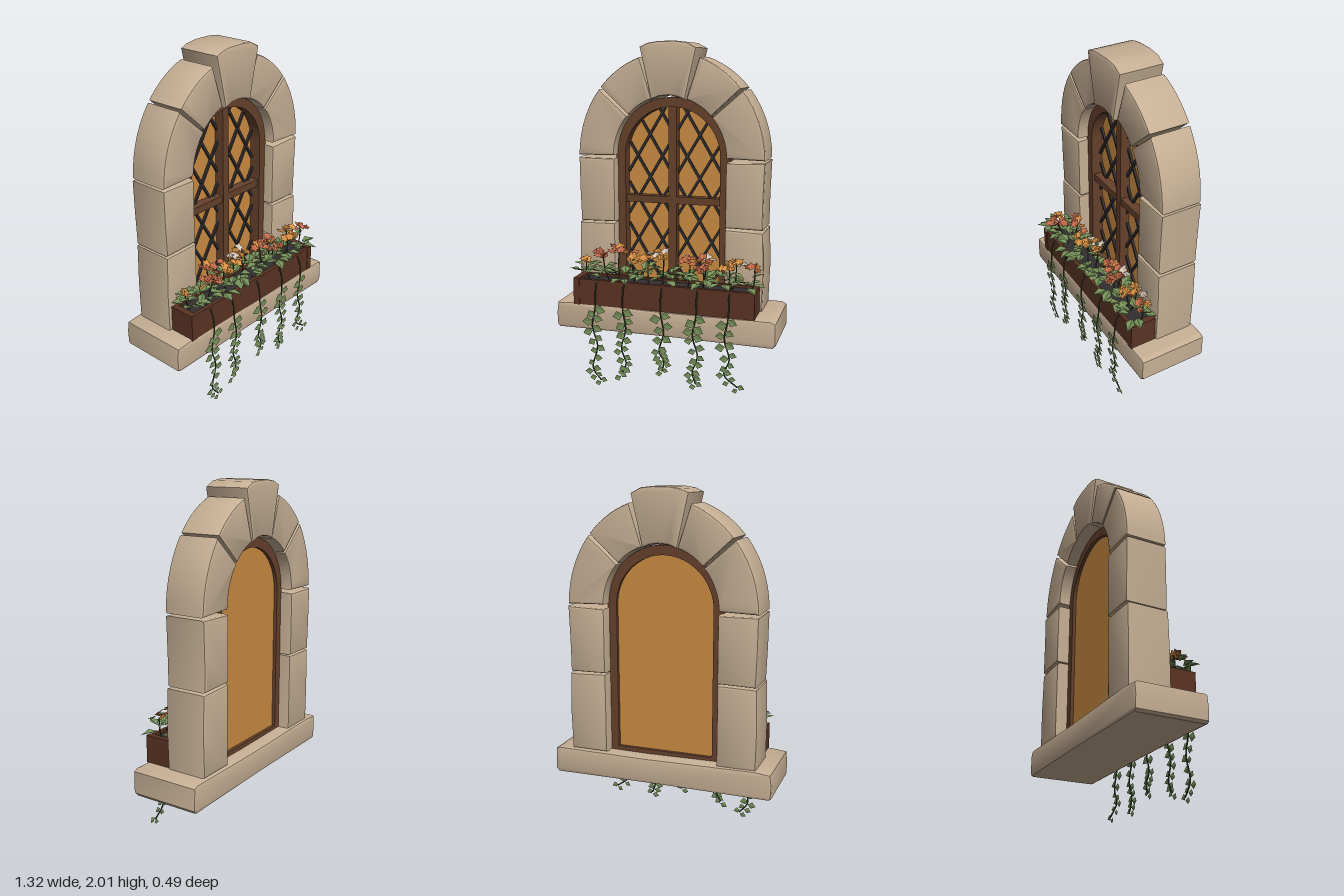
import * as THREE from 'three';
import { mergeGeometries, toCreasedNormals } from 'three/addons/utils/BufferGeometryUtils.js';

const CX = -0.007, SPRING = 1.345; // arch centre line and springing height

const mat = (name, color, side = THREE.FrontSide) => {
  const m = new THREE.MeshStandardMaterial({ color, side });
  m.name = name;
  return m;
};

export function createModel() {
  const model = new THREE.Group();
  model.name = 'archedWindow';
  const M = {
    stone: mat('stone', 0xc6af94),
    frame: mat('frameWood', 0x66412c),
    box: mat('planterWood', 0x5a3323),
    glass: mat('amberGlass', 0xcc8c42),
    dark: mat('leadAndSoil', 0x332f31),
    leaf: mat('leafGreen', 0x748f58, THREE.DoubleSide),
    stem: mat('stemGreen', 0x3c4a30),
    red: mat('coralPetal', 0xc26a48, THREE.DoubleSide),
    orange: mat('orangePetal', 0xdb9244, THREE.DoubleSide),
    cream: mat('creamPetal', 0xd9c9b8, THREE.DoubleSide),
  };
  let seed = 7;
  const rnd = (a = 0, b = 1) => {
    seed = (seed * 16807) % 2147483647;
    return a + (b - a) * (seed / 2147483647);
  };
  const add = (name, geo, material, parent = model) => {
    const mesh = new THREE.Mesh(geo, material);
    mesh.name = name;
    parent.add(mesh);
    return mesh;
  };
  const group = (name) => {
    const g = new THREE.Group();
    g.name = name;
    model.add(g);
    return g;
  };
  const box = (name, x0, x1, y0, y1, z0, z1, material, parent) =>
    add(name, new THREE.BoxGeometry(x1 - x0, y1 - y0, z1 - z0), material, parent)
      .position.set((x0 + x1) / 2, (y0 + y1) / 2, (z0 + z1) / 2);

  // Stone block: bevelled extrusion of an outline
  const surround = group('stoneSurround');
  const block = (name, pts, z0, z1, b = 0.014) => {
    const shape = new THREE.Shape(pts.map(([x, y]) => new THREE.Vector2(x, y)));
    const geo = new THREE.ExtrudeGeometry(shape, {
      depth: z1 - z0 - 2 * b, bevelEnabled: true, bevelSize: b, bevelOffset: -b,
      bevelThickness: b, bevelSegments: 2,
    });
    geo.translate(0, 0, z0 + b);
    add(name, toCreasedNormals(geo, 0.55), M.stone, surround);
  };

  // Sill with slightly worn edges
  block('sill', [[-0.66, 0.335], [-0.645, 0.322], [0, 0.325], [0.64, 0.318], [0.66, 0.34],
    [0.657, 0.465], [0.63, 0.478], [0.1, 0.474], [-0.56, 0.484], [-0.655, 0.475], [-0.663, 0.41]], -0.237, 0.18, 0.016);

  // Jambs and voussoirs, mirrored
  const outer = (a) => 0.557 + 0.05 * Math.sin(a) ** 2;
  const inner = (a) => 0.335 + 0.014 * Math.sin(a) ** 2;
  for (const s of [-1, 1]) {
    const side = s < 0 ? 'right' : 'left';
    const X = (x) => CX + s * x;
    const w = s < 0 ? 0.004 : 0;
    block(side + 'LowerJamb', [[X(0.333), 0.478], [X(0.556 + w), 0.478], [X(0.563), 0.7],
      [X(0.556), 0.938 + w], [X(0.333), 0.946]], -0.222, 0.024);
    block(side + 'UpperJamb', [[X(0.333), 0.954], [X(0.55), 0.95], [X(0.552 + w), 1.14],
      [X(0.558), 1.332], [X(0.333), 1.326 + w]], -0.226, 0.02);
    [[1, 43], [44.4, 73]].forEach(([d0, d1], i) => {
      const pts = [], n = 7;
      for (let k = 0; k <= n; k++) {
        const a = THREE.MathUtils.degToRad(d0 + (d1 - d0) * k / n);
        pts.push([X(outer(a) * Math.cos(a)), SPRING + outer(a) * Math.sin(a) - 0.01]);
      }
      for (let k = n; k >= 0; k--) {
        const a = THREE.MathUtils.degToRad(d0 + (d1 - d0) * k / n);
        pts.push([X(inner(a) * Math.cos(a)), SPRING + inner(a) * Math.sin(a)]);
      }
      block(side + (i ? 'UpperVoussoir' : 'LowerVoussoir'), pts, -0.222, 0.022);
    });
  }
  block('keystone', [[-0.108, 1.675], [-0.06, 1.694], [0, 1.7], [0.05, 1.692], [0.092, 1.675],
    [0.158, 1.962], [0.1, 1.992], [0.03, 2], [-0.07, 1.998], [-0.13, 1.988], [-0.175, 1.968]], -0.226, 0.042);

  // Arched timber frame, glass, mullion and transom
  const windowGroup = group('window');
  const arch = (r, bottom, Type) => {
    const p = new Type();
    p.moveTo(CX - r, bottom);
    p.lineTo(CX + r, bottom);
    p.lineTo(CX + r, SPRING);
    p.absarc(CX, SPRING, r, 0, Math.PI, false);
    p.closePath();
    return p;
  };
  const R = 0.287, BOTTOM = 0.5;
  const extrude = (shape, z0, z1) => {
    const geo = new THREE.ExtrudeGeometry(shape, { depth: z1 - z0, bevelEnabled: false, curveSegments: 24 });
    geo.translate(0, 0, z0);
    return toCreasedNormals(geo, 0.6);
  };
  const frame = arch(0.342, 0.47, THREE.Shape);
  frame.holes.push(arch(R, BOTTOM, THREE.Path));
  add('windowFrame', extrude(frame, -0.15, -0.045), M.frame, windowGroup);
  add('glassPane', extrude(arch(R + 0.005, BOTTOM - 0.005, THREE.Shape), -0.13, -0.115), M.glass, windowGroup);
  box('mullion', CX - 0.024, CX + 0.024, BOTTOM, SPRING + R, -0.116, -0.055, M.frame, windowGroup);
  box('transom', CX - R, CX + R, 1.065, 1.108, -0.116, -0.06, M.frame, windowGroup);

  // Diagonal lead bars, clipped to the arch
  const inside = (x, y) => y > BOTTOM && Math.abs(x) < R && (y < SPRING || Math.hypot(x, y - SPRING) < R);
  const tilt = THREE.MathUtils.degToRad(31);
  for (const s of [-1, 1]) {
    for (let i = -8; i <= 8; i++) {
      const x0 = (i + 0.5) * 0.152;
      const hits = [];
      for (let t = -1; t <= 1; t += 0.004) {
        if (inside(x0 + s * t * Math.sin(tilt), 1.087 + t * Math.cos(tilt))) hits.push(t);
      }
      if (hits.length < 5) continue;
      const a = hits[0], b = hits[hits.length - 1], mid = (a + b) / 2;
      const bar = add('leadBar', new THREE.BoxGeometry(0.014, b - a, 0.014), M.dark, windowGroup);
      bar.position.set(CX + x0 + s * mid * Math.sin(tilt), 1.087 + mid * Math.cos(tilt), -0.103 + s * 0.002);
      bar.rotation.z = -s * tilt;
    }
  }

  // Planter box with soil
  const planter = group('planterBox');
  box('planterFront', -0.51, 0.5, 0.476, 0.632, 0.155, 0.178, M.box, planter);
  box('planterBack', -0.51, 0.5, 0.476, 0.632, 0.022, 0.04, M.box, planter);
  box('planterRightEnd', -0.547, -0.51, 0.474, 0.635, 0.02, 0.181, M.box, planter);
  box('planterLeftEnd', 0.5, 0.537, 0.474, 0.635, 0.02, 0.181, M.box, planter);
  box('soil', -0.51, 0.5, 0.478, 0.618, 0.04, 0.155, M.dark, planter);

  // Folded kite along +z, used for leaves and petals
  const kite = (len, width, lift) => {
    const g = new THREE.BufferGeometry();
    const w = width / 2, m = len * 0.45;
    g.setAttribute('position', new THREE.Float32BufferAttribute(
      [0, 0, 0, 0, 0, len, w, lift, m, 0, 0, 0, -w, lift, m, 0, 0, len], 3));
    g.computeVertexNormals();
    return g;
  };
  const rod = (pts, r, n) => new THREE.TubeGeometry(
    new THREE.CatmullRomCurve3(pts.map((p) => new THREE.Vector3(...p))), n, r, 5);

  // Leafy plants along the box
  const leaves = [], stems = [];
  for (const x of [-0.49, -0.37, -0.26, -0.13, 0.0, 0.1, 0.22, 0.35, 0.47]) {
    for (let k = 0; k < 11; k++) {
      const yaw = k / 11 * Math.PI * 2 + rnd(-0.25, 0.25);
      const front = Math.cos(yaw);
      const g = kite(rnd(0.065, 0.1), rnd(0.045, 0.065), 0.01);
      g.rotateX(rnd(-0.5, 0.35));
      g.translate(0, 0, 0.02);
      g.rotateY(yaw);
      g.translate(x + rnd(-0.02, 0.02), rnd(0.645, 0.705), 0.11 + front * 0.025);
      leaves.push(g);
    }
  }
  add('plantLeaves', mergeGeometries(leaves), M.leaf);

  // Flower clusters: x, y, z, main colour, accent colour, count
  const petals = { red: [], orange: [], cream: [] };
  const clusters = [
    [-0.5, 0.735, 0.08, 'orange', 'cream', 2], [-0.3, 0.79, 0.06, 'red', 'orange', 6],
    [-0.36, 0.79, 0.17, 'red', 'red', 8], [-0.2, 0.76, 0.1, 'orange', 'red', 4],
    [-0.11, 0.765, 0.09, 'orange', 'cream', 8], [-0.02, 0.78, 0.07, 'orange', 'cream', 5],
    [0.14, 0.75, 0.08, 'red', 'orange', 6], [0.23, 0.77, 0.06, 'red', 'cream', 6],
    [0.23, 0.74, 0.12, 'red', 'orange', 5], [0.41, 0.775, 0.07, 'orange', 'cream', 7],
    [0.38, 0.74, 0.12, 'orange', 'red', 5], [0.52, 0.75, 0.1, 'red', 'orange', 5],
  ];
  for (const [x, y, z, main, accent, count] of clusters) {
    stems.push(rod([[x * 0.95, 0.6, 0.1], [x, 0.68, (z + 0.1) / 2], [x, y, z]], 0.004, 4));
    for (let k = 0; k < count; k++) {
      const a = k * 2.4, d = 0.021 * Math.sqrt(k);
      const size = rnd(0.026, 0.035), tx = rnd(0, 0.8), tz = rnd(-0.5, 0.5);
      const px = x + Math.cos(a) * d, py = y + rnd(-0.025, 0.025), pz = Math.max(0.05, z + Math.sin(a) * d);
      for (let p = 0; p < 5; p++) {
        const g = kite(size, size * 0.8, 0.004);
        g.rotateX(-0.3);
        g.rotateY(p * Math.PI * 0.4 + a);
        g.rotateX(tx);
        g.rotateZ(tz);
        g.translate(px, py, pz);
        petals[k % 3 === 2 ? accent : main].push(g);
      }
    }
  }
  for (const c in petals) add(c + 'Flowers', mergeGeometries(petals[c]), M[c]);

  // Trailing vines: top x, sideways drift at the end, lowest y
  const vineLeaves = [];
  for (const [x, drift, end] of [[-0.4, 0.03, 0.015], [-0.23, -0.015, 0.065], [0, 0.01, 0.115],
    [0.21, 0.0, 0.06], [0.395, 0.06, 0.07]]) {
    const sway = drift < 0 || x === 0 ? 0.018 : -0.02;
    const pts = [[x, 0.64, 0.14], [x, 0.6, 0.19], [x, 0.48, 0.207], [x + sway, 0.36, 0.207],
      [x - sway * 0.5, 0.24, 0.206], [x + sway, end + 0.08, 0.205], [x + drift, end + 0.01, 0.203]];
    const curve = new THREE.CatmullRomCurve3(pts.map((p) => new THREE.Vector3(...p)));
    stems.push(rod(pts, 0.0045, 28));
    const rows = Math.round((0.5 - end) / 0.058);
    for (let i = 0; i <= rows; i++) {
      const f = i / rows, c = curve.getPoint(0.36 + 0.64 * f);
      for (const s of [-1, 1]) {
        const len = (0.066 - 0.024 * f) * rnd(0.85, 1.1);
        const g = kite(len, len * 0.85, 0.004);
        g.rotateX(Math.PI / 2);
        g.rotateZ(s * rnd(1.0, 1.5));
        g.translate(c.x, c.y + s * 0.012, c.z + 0.002);
        vineLeaves.push(g);
      }
    }
  }
  add('vineLeaves', mergeGeometries(vineLeaves), M.leaf);
  add('stems', mergeGeometries(stems), M.stem);
  return model;
}
